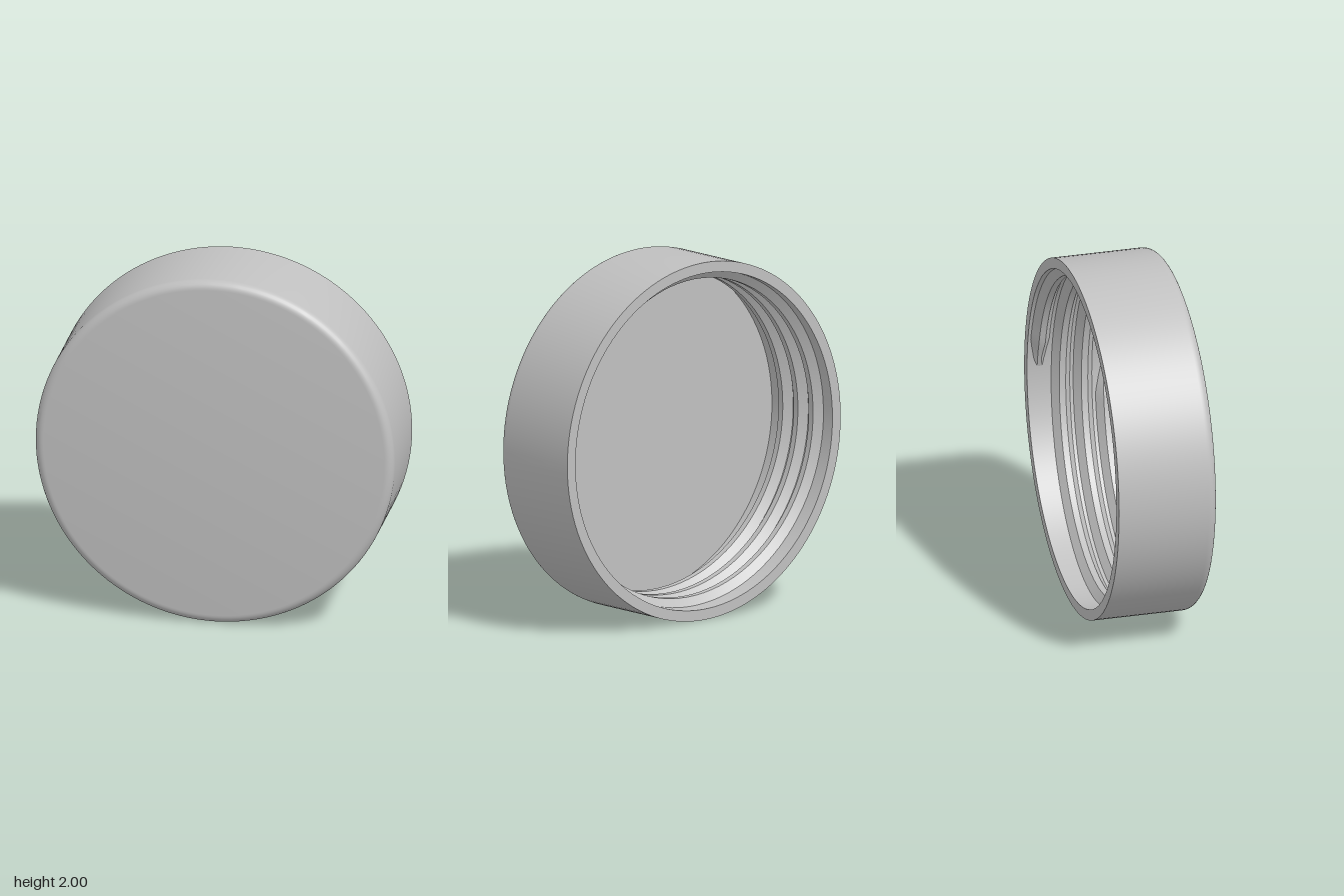
import * as THREE from 'three';
import { toCreasedNormals } from 'three/addons/utils/BufferGeometryUtils.js';

const HALF = 0.28, WALL = 0.94, FLOOR = 0.22, FILLET = 0.05;

// Cup-shaped shell: inner floor, inner wall, rim, outer wall, rounded front edge, front face
function shellGeometry() {
  const pts = [[0, FLOOR], [WALL, FLOOR], [WALL, -HALF], [1, -HALF]];
  for (let i = 0; i <= 7; i++) {
    const a = (i / 7) * Math.PI / 2;
    pts.push([1 - FILLET + FILLET * Math.cos(a), HALF - FILLET + FILLET * Math.sin(a)]);
  }
  pts.push([0, HALF]);
  const geo = new THREE.LatheGeometry(pts.map(([r, y]) => new THREE.Vector2(r, y)), 128);
  geo.rotateX(Math.PI / 2);
  return toCreasedNormals(geo, 0.5);
}

// Helical ridge: a trapezoid section swept along the inner wall, tapered at both ends
function threadGeometry(turns, zStart, zEnd) {
  const section = [[0, -0.055], [1, -0.018], [1, 0.018], [0, 0.055]];
  const steps = turns * 96, taper = 3, height = 0.045;
  const pos = [], index = [];
  for (let i = 0; i <= steps; i++) {
    const t = i / steps, a = t * turns * Math.PI * 2;
    const k = Math.min(1, i / taper, (steps - i) / taper);
    const z = zStart + (zEnd - zStart) * t;
    for (const [h, dz] of section) {
      const r = WALL + 0.003 - (height + 0.003) * h * k;
      pos.push(r * Math.cos(a), r * Math.sin(a), z + dz * (0.4 + 0.6 * k));
    }
    if (i === steps) continue;
    for (let j = 0; j < 3; j++) {
      const p = i * 4 + j, q = p + 4;
      index.push(p, p + 1, q, q, p + 1, q + 1);
    }
  }
  const geo = new THREE.BufferGeometry();
  geo.setAttribute('position', new THREE.Float32BufferAttribute(pos, 3));
  geo.setIndex(index);
  return toCreasedNormals(geo, 0.5);
}

export function createModel() {
  const group = new THREE.Group();
  group.name = 'screwCap';
  const grey = new THREE.MeshStandardMaterial({ color: 0xc0c0c0 });
  grey.name = 'light grey';

  const add = (name, geo) => {
    const mesh = new THREE.Mesh(geo, grey);
    mesh.name = name;
    mesh.position.y = 1;
    group.add(mesh);
  };
  add('capShell', shellGeometry());
  add('innerThread', threadGeometry(3, -0.215, 0.16));
  return group;
}
